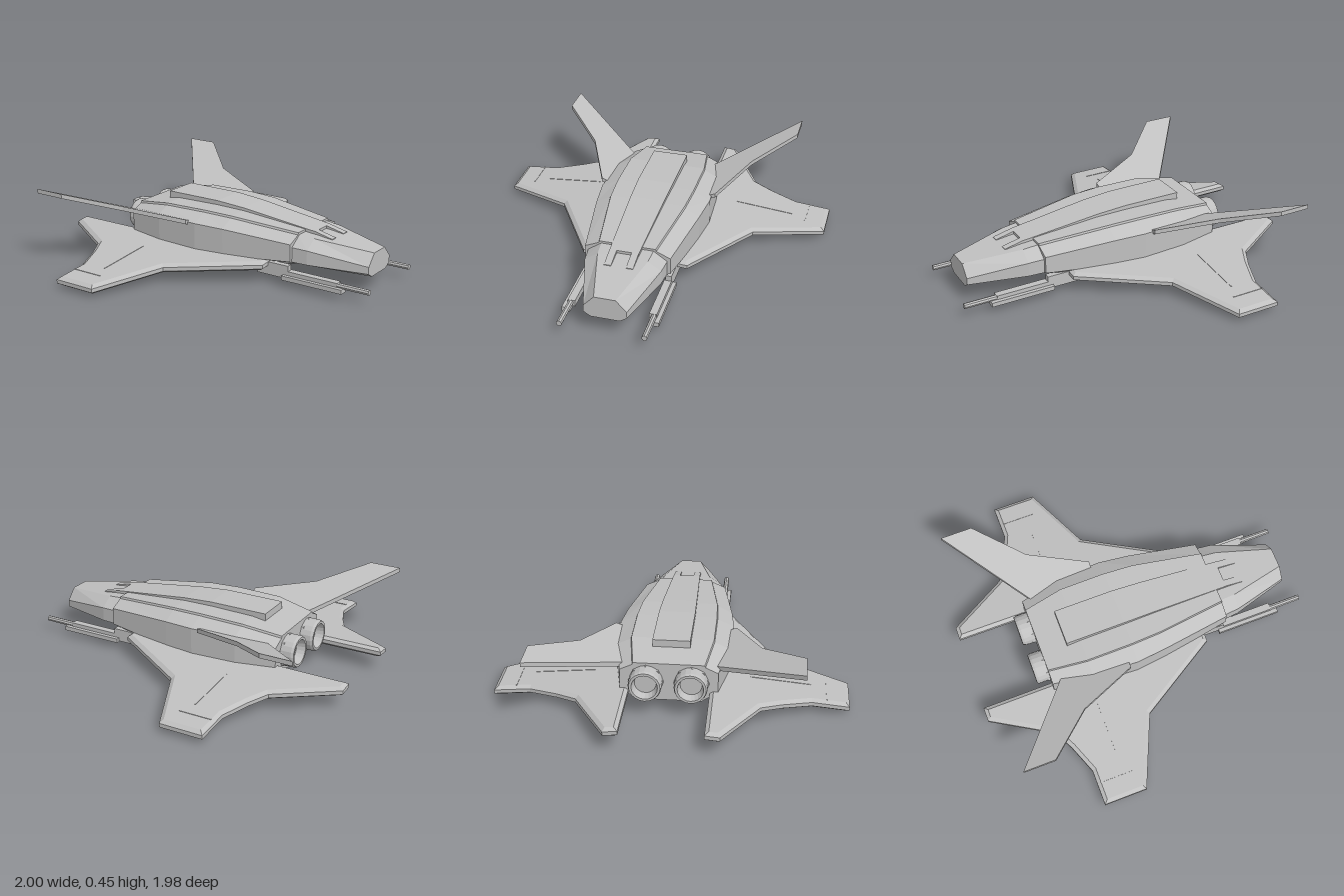
import * as THREE from 'three';

// Closed skin through rings of [z, y] points, each at its own x (flat facets, capped ends).
function loft(sections) {
  const pos = [];
  const put = (...pts) => pts.forEach(p => pos.push(...p));
  const rings = sections.map(([x, ring]) => ring.map(([z, y]) => [x, y, z]));
  const n = rings[0].length;
  for (let i = 0; i < rings.length - 1; i++) {
    for (let j = 0; j < n; j++) {
      const k = (j + 1) % n;
      const a = rings[i][j], b = rings[i][k], c = rings[i + 1][k], d = rings[i + 1][j];
      put(a, b, c, a, c, d);
    }
  }
  const cap = (ring, flip) => {
    const mid = [0, 1, 2].map(q => ring.reduce((s, p) => s + p[q], 0) / n);
    ring.forEach((p, j) => {
      const next = ring[(j + 1) % n];
      flip ? put(mid, next, p) : put(mid, p, next);
    });
  };
  cap(rings[0], true);
  cap(rings[rings.length - 1], false);
  const geo = new THREE.BufferGeometry();
  geo.setAttribute('position', new THREE.Float32BufferAttribute(pos, 3));
  geo.computeVertexNormals();
  return geo;
}

// Completes a half ring (top to bottom, +z side) with its mirror image.
const symmetric = half => [...half, ...half.slice().reverse().map(([z, y]) => [-z, y])];

// Bevelled plate drawn in plan, laid flat and tilted outward by a slope.
function plate(points, side, depth, bevel, y0, slope) {
  const shape = new THREE.Shape(points.map(([x, z]) => new THREE.Vector2(x, z * side)));
  const geo = new THREE.ExtrudeGeometry(shape, {
    depth, bevelEnabled: bevel > 0, bevelThickness: bevel * 0.7, bevelSize: bevel,
    bevelOffset: -bevel, bevelSegments: 1,
  });
  geo.rotateX(Math.PI / 2);
  const p = geo.attributes.position;
  for (let i = 0; i < p.count; i++) {
    p.setY(i, p.getY(i) + depth / 2 + y0 + slope * Math.abs(p.getZ(i)));
  }
  geo.computeVertexNormals();
  return geo;
}

export function createModel() {
  const model = new THREE.Group();
  model.name = 'starfighter';
  const hullGrey = new THREE.MeshStandardMaterial({ color: 0xc0c0c0, flatShading: true });
  hullGrey.name = 'hull grey';
  const add = (name, geo, parent = model) => {
    const mesh = new THREE.Mesh(geo, hullGrey);
    mesh.name = name;
    parent.add(mesh);
    return mesh;
  };

  // Main hull: x, half width, deck half width, belly half width, y of belly, lower side, upper side, deck
  const hull = [
    [-0.58, 0.27, 0.20, 0.18, 0.07, 0.13, 0.25, 0.295],
    [-0.35, 0.315, 0.235, 0.22, 0.035, 0.12, 0.28, 0.33],
    [-0.08, 0.33, 0.235, 0.22, 0.03, 0.12, 0.28, 0.335],
    [0.1, 0.31, 0.225, 0.21, 0.04, 0.12, 0.275, 0.33],
    [0.51, 0.245, 0.165, 0.16, 0.11, 0.145, 0.245, 0.292],
  ];
  add('hull', loft(hull.map(([x, w, t, b, yb, yl, yh, yt]) =>
    [x, symmetric([[t - 0.004, yt], [t, yt - 0.012], [w, yh], [w, yl], [b, yb]])])));

  // Tapered nose
  const nose = [
    [0.5, 0.228, 0.15, 0.15, 0.115, 0.14, 0.225, 0.28],
    [0.6, 0.218, 0.143, 0.14, 0.11, 0.138, 0.22, 0.27],
    [0.93, 0.12, 0.06, 0.08, 0.1, 0.125, 0.165, 0.23],
  ];
  add('nose', loft(nose.map(([x, w, t, b, yb, yl, yh, yt]) =>
    [x, symmetric([[t, yt], [w, yh], [w, yl], [b, yb]])])));

  // Raised spine with a forked front end
  const bar = (x, z0, z1, y0, y1) => [x, [[z0, y1], [z1, y1], [z1, y0], [z0, y0]]];
  add('spine', loft([
    bar(-0.43, -0.105, 0.105, 0.28, 0.36), bar(-0.08, -0.105, 0.105, 0.28, 0.36),
    bar(0.1, -0.1, 0.1, 0.28, 0.347), bar(0.57, -0.083, 0.083, 0.25, 0.289),
  ]));
  for (const s of [1, -1]) {
    const [a, b] = s > 0 ? [0.042, 0.082] : [-0.082, -0.042];
    add('spineFork', loft([bar(0.57, a, b, 0.24, 0.289), bar(0.68, a, b, 0.23, 0.264)]));
  }

  // Belly keel
  add('keel', loft([
    bar(-0.5, -0.1, 0.1, 0.035, 0.1), bar(-0.35, -0.1, 0.1, 0.005, 0.1),
    bar(-0.05, -0.1, 0.1, 0, 0.1), bar(0.15, -0.1, 0.1, 0.025, 0.12),
    bar(0.5, -0.085, 0.085, 0.1, 0.15),
  ]));

  const wing = [[0.37, 0.22], [0.37, 0.305], [-0.105, 0.59], [-0.28, 0.99], [-0.535, 0.99],
    [-0.535, 0.785], [-0.6, 0.62], [-0.66, 0.505], [-1, 0.305], [-1, 0.225]];
  const fin = [[-0.13, 0.25], [-0.13, 0.348], [-0.465, 0.5], [-0.715, 0.735], [-0.9, 0.735],
    [-0.52, 0.25]];
  // Thin panel ridges on the wing: x, z, length in x, length in z
  const ridges = [[-0.37, 0.61, 0.006, 0.34], [-0.42, 0.865, 0.19, 0.006]];

  for (const s of [1, -1]) {
    const half = new THREE.Group();
    half.name = s > 0 ? 'leftSide' : 'rightSide';
    model.add(half);

    add('wing', plate(wing, s, 0.022, 0.022, 0.133, -0.094), half);
    add('tailFin', plate(fin, s, 0.026, 0, 0.153, 0.381), half);
    for (const [x, z, lx, lz] of ridges) {
      const outline = [[x - lx / 2, z - lz / 2], [x + lx / 2, z - lz / 2],
        [x + lx / 2, z + lz / 2], [x - lx / 2, z + lz / 2]];
      add('wingRidge', plate(outline, s, 0.004, 0, 0.16, -0.094), half);
    }

    // Open engine nozzle with a recessed inner face
    const nozzle = new THREE.LatheGeometry([[0, 0.05], [0.06, 0.05], [0.072, 0.1], [0.086, 0.1],
      [0.092, 0.085], [0.092, 0]].reverse().map(([r, y]) => new THREE.Vector2(r, y)), 20);
    nozzle.rotateZ(Math.PI / 2);
    const engine = add('engineNozzle', nozzle, half);
    engine.material.side = THREE.DoubleSide;
    engine.position.set(-0.56, 0.188, s * 0.125);
    const housing = add('engineHousing', new THREE.CylinderGeometry(0.098, 0.098, 0.03, 8), half);
    housing.rotation.z = Math.PI / 2;
    housing.position.set(-0.58, 0.185, s * 0.125);

    // Cannon slung under the wing root
    const box = (name, x0, x1, y0, y1, z0, z1) => {
      const m = add(name, new THREE.BoxGeometry(x1 - x0, y1 - y0, z1 - z0), half);
      m.position.set((x0 + x1) / 2, (y0 + y1) / 2, s * (z0 + z1) / 2);
    };
    box('cannonBody', 0.47, 0.85, 0.04, 0.065, 0.225, 0.272);
    box('cannonCover', 0.38, 0.81, 0.05, 0.088, 0.208, 0.25);
    box('cannonMount', 0.3, 0.5, 0.045, 0.12, 0.215, 0.25);
    const barrel = add('cannonBarrel', new THREE.CylinderGeometry(0.016, 0.016, 0.3, 8), half);
    barrel.rotation.z = Math.PI / 2;
    barrel.position.set(0.85, 0.072, s * 0.234);
  }
  return model;
}
